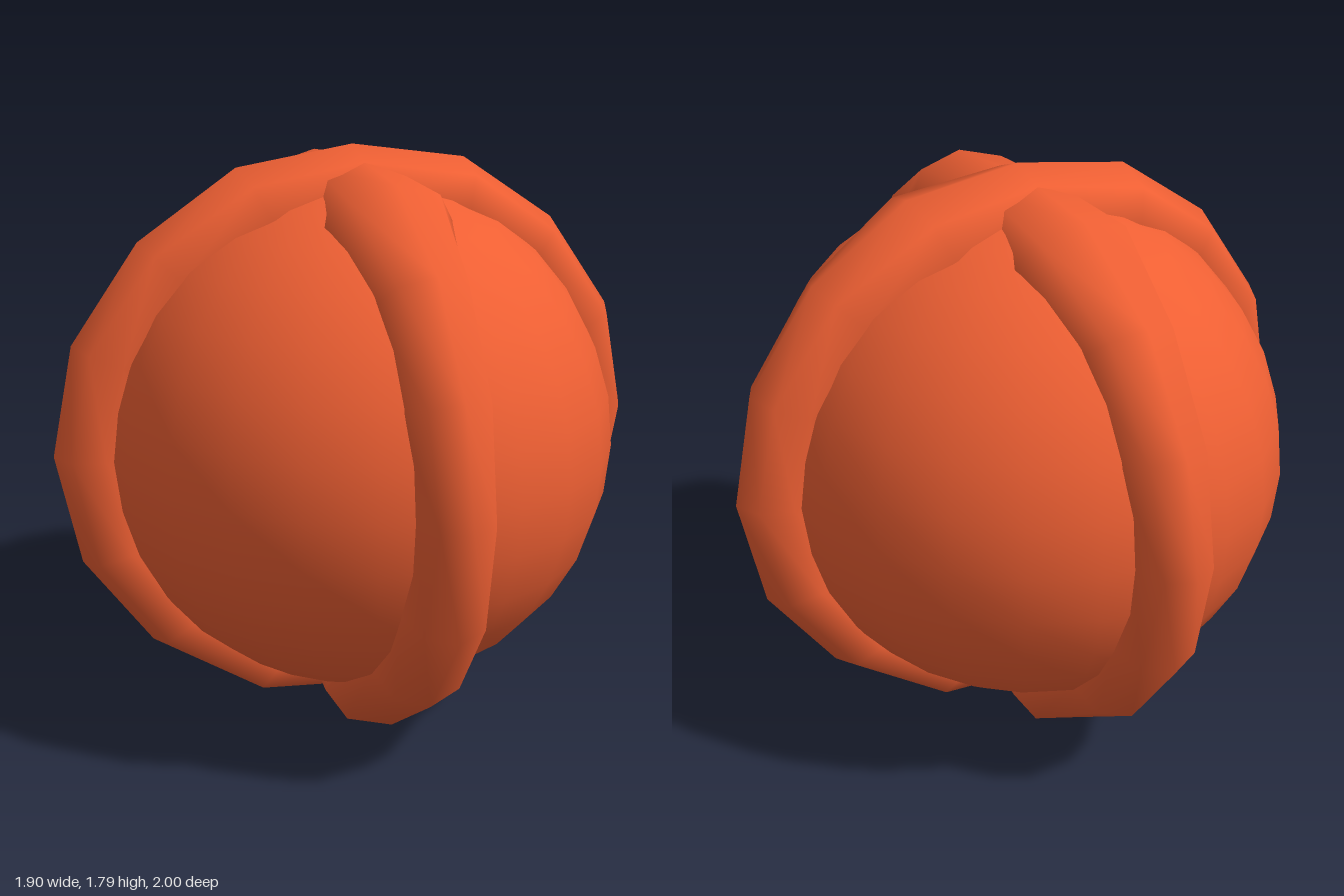
import * as THREE from 'three';

const SIDES = 8;
const CENTRE_Y = 0.893;
const DEPTH = 0.14; // radial half-thickness of a band

// Closed band from half a loop of stations, bottom to top: [outward, height, half width].
function bandGeometry(half) {
  const mirrored = half.slice(1, -1).reverse().map(([a, y, w]) => [-a, y, w]);
  const loop = [...half, ...mirrored];
  const positions = [];
  const index = [];
  loop.forEach(([a, y, w], i) => {
    const length = Math.hypot(a, y);
    for (let j = 0; j < SIDES; j++) {
      const phi = (j / SIDES) * Math.PI * 2;
      const k = 1 - (DEPTH * (1 - Math.cos(phi))) / length;
      positions.push(a * k, y * k, w * Math.sin(phi));
      const next = ((i + 1) % loop.length) * SIDES;
      const j2 = (j + 1) % SIDES;
      const p = i * SIDES + j, q = next + j, r = next + j2, s = i * SIDES + j2;
      index.push(p, q, r, p, r, s);
    }
  });
  const geometry = new THREE.BufferGeometry();
  geometry.setAttribute('position', new THREE.Float32BufferAttribute(positions, 3));
  geometry.setIndex(index);
  geometry.computeVertexNormals();
  return geometry;
}

export function createModel() {
  const group = new THREE.Group();
  const material = new THREE.MeshStandardMaterial({ color: 0xee5f33 });

  function add(name, geometry) {
    const mesh = new THREE.Mesh(geometry, material);
    mesh.name = name;
    mesh.position.y = CENTRE_Y;
    group.add(mesh);
    return mesh;
  }

  // Slightly squashed ball
  add('ball', new THREE.SphereGeometry(1, 24, 16)).scale.set(0.8, 0.8, 0.88);

  // Band around the sides, widening towards the poles
  add('sideBand', bandGeometry([
    [0, -0.893, 0.16], [0.365, -0.842, 0.2], [0.67, -0.645, 0.145], [0.88, -0.35, 0.13],
    [0.95, 0, 0.115],
    [0.88, 0.34, 0.13], [0.67, 0.637, 0.145], [0.365, 0.842, 0.2], [0, 0.897, 0.16],
  ]));

  // Band around front and back, crossing the first at the poles
  add('frontBand', bandGeometry([
    [0, -0.885, 0.16], [0.385, -0.872, 0.2], [0.71, -0.645, 0.145], [0.92, -0.35, 0.13],
    [1, 0, 0.115],
    [0.92, 0.337, 0.13], [0.71, 0.635, 0.145], [0.385, 0.83, 0.2], [0, 0.865, 0.16],
  ])).rotation.y = Math.PI / 2;

  return group;
}
